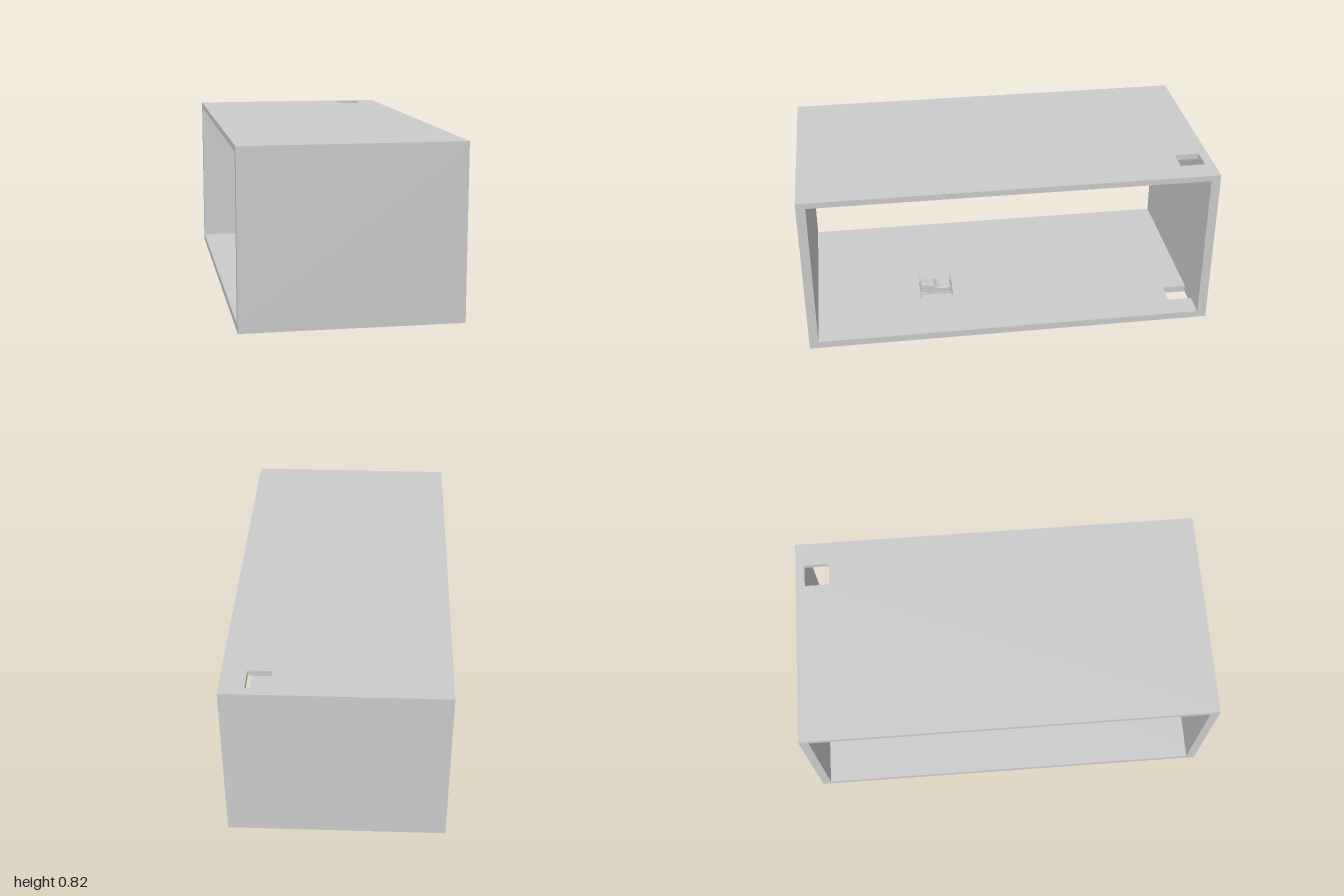
import * as THREE from 'three';

const grey = () => new THREE.MeshStandardMaterial({ color: 0xcccccc });

function add(parent, name, geometry, x = 0, y = 0, z = 0) {
  const mesh = new THREE.Mesh(geometry, grey());
  mesh.name = name;
  mesh.position.set(x, y, z);
  parent.add(mesh);
  return mesh;
}

const box = (w, h, d) => new THREE.BoxGeometry(w, h, d);

// Closed shape through corner points
const outline = (pts, Type = THREE.Shape) => new Type(pts.map(p => new THREE.Vector2(...p)));
const rect = (x0, x1, y0, y1, Type) => outline([[x0, y0], [x1, y0], [x1, y1], [x0, y1]], Type);

// Horizontal slab with a square hatch cut through its back corner
function slab(thickness, w, l) {
  const shape = rect(-w, w, -l, l);
  shape.holes.push(rect(0.285, 0.397, 0.835, 0.955, THREE.Path));
  const geometry = new THREE.ExtrudeGeometry(shape, { depth: thickness, bevelEnabled: false });
  return geometry.rotateX(-Math.PI / 2);
}

// Bed: two post-and-rail ends, side rails, soft mattress with a raised end
function bed() {
  const group = new THREE.Group();
  group.name = 'bed';
  const half = 0.037, zFoot = 0.268, zHead = 0.429, floor = 0.035, top = 0.12;
  for (const z of [zFoot, zHead]) {
    for (const side of [-1, 1]) {
      add(group, 'bedPost', new THREE.CylinderGeometry(0.0025, 0.0025, top - floor, 8),
        side * half, (top + floor) / 2, z);
    }
    for (const y of [0.065, top - 0.003]) add(group, 'endRail', box(half * 2, 0.004, 0.004), 0, y, z);
  }
  add(group, 'headPanel', box(half * 2, 0.05, 0.003), 0, 0.092, zFoot);
  for (const side of [-1, 1]) {
    add(group, 'sideRail', box(0.004, 0.006, zHead - zFoot), side * half, 0.056, (zFoot + zHead) / 2);
  }

  // Side profile of the mattress, drawn as (z, y)
  const profile = new THREE.Shape();
  profile.moveTo(0.27, 0.047);
  profile.splineThru([[0.33, 0.047], [0.38, 0.055], [0.424, 0.068]].map(p => new THREE.Vector2(...p)));
  profile.splineThru([[0.424, 0.1], [0.41, 0.115], [0.385, 0.109], [0.362, 0.106], [0.34, 0.092],
    [0.31, 0.086], [0.28, 0.094], [0.268, 0.085]].map(p => new THREE.Vector2(...p)));
  profile.closePath();
  const soft = new THREE.ExtrudeGeometry(profile, {
    depth: 0.058, curveSegments: 24, bevelSize: 0.004, bevelThickness: 0.006, bevelOffset: -0.004, bevelSegments: 3,
  });
  soft.translate(0, 0, -0.029).rotateY(-Math.PI / 2);
  // Rotation sends the profile's first axis to +z
  add(group, 'mattress', soft);
  group.position.x = 0.168;
  return group;
}

export function createModel() {
  const model = new THREE.Group();
  model.name = 'room';
  const w = 0.513, l = 1, height = 0.822, floor = 0.035, ceiling = 0.793, wall = 0.045;

  // Room shell, open on both long sides
  add(model, 'floor', slab(floor, w, l));
  add(model, 'roof', slab(height - ceiling, w, l), 0, ceiling, 0);
  for (const side of [-1, 1]) {
    add(model, side > 0 ? 'frontWall' : 'backWall', box(w * 2, ceiling - floor, wall),
      0, (ceiling + floor) / 2, side * (l - wall / 2));
  }
  model.add(bed());
  return model;
}
